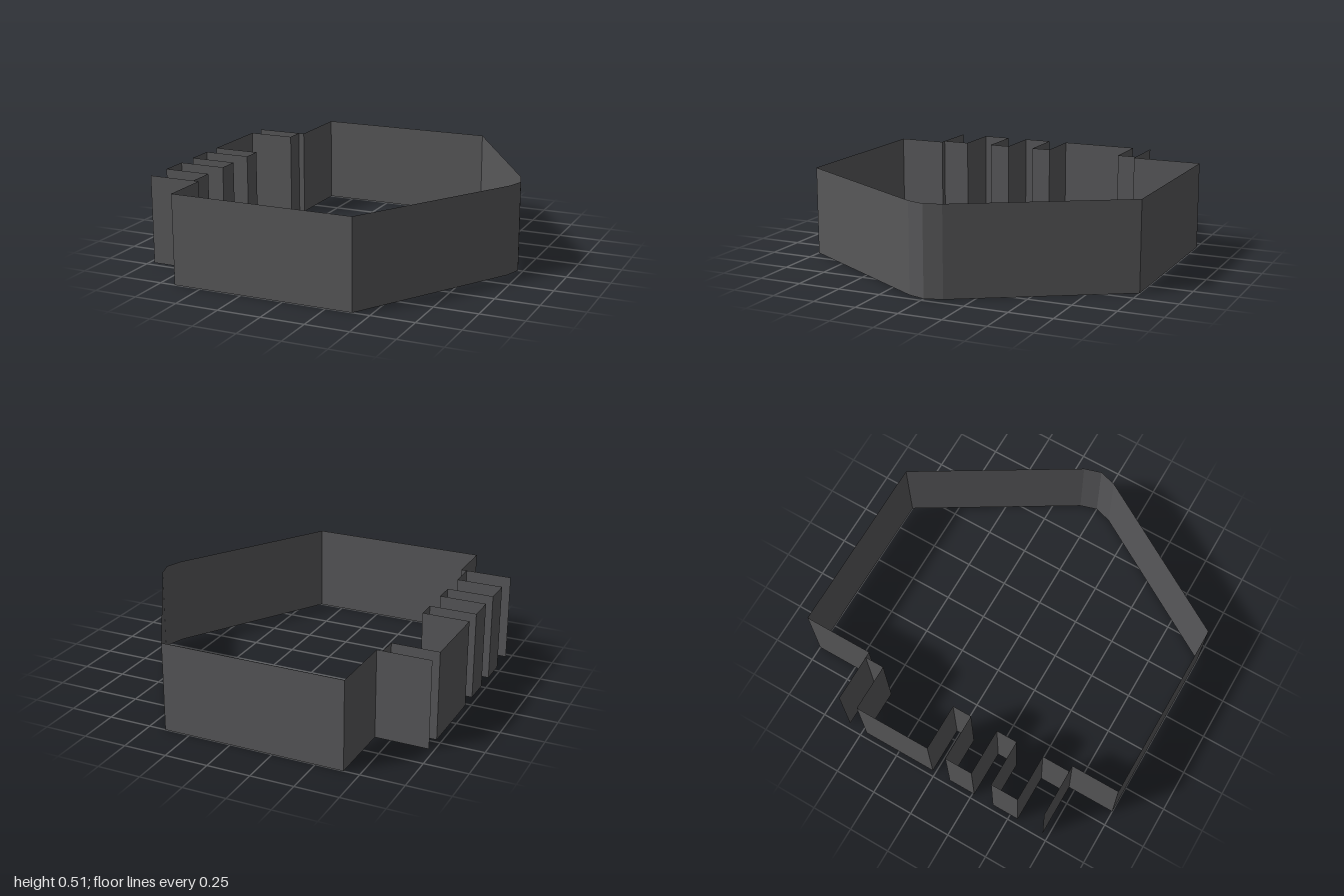
import * as THREE from 'three';

const HEIGHT = 0.515;

// Upright sheet following a path of [x, z] points, with crisp folds
function makeWall(name, path, material) {
  const positions = [];
  for (let i = 0; i < path.length - 1; i++) {
    const [ax, az] = path[i];
    const [bx, bz] = path[i + 1];
    positions.push(
      ax, 0, az, bx, 0, bz, bx, HEIGHT, bz,
      ax, 0, az, bx, HEIGHT, bz, ax, HEIGHT, az
    );
  }
  const geometry = new THREE.BufferGeometry();
  geometry.setAttribute('position', new THREE.Float32BufferAttribute(positions, 3));
  geometry.computeVertexNormals();
  const mesh = new THREE.Mesh(geometry, material);
  mesh.name = name;
  return mesh;
}

export function createModel() {
  const group = new THREE.Group();
  group.name = 'foldedWallRing';
  const darkGrey = new THREE.MeshStandardMaterial({ color: 0x58585a, side: THREE.DoubleSide });
  darkGrey.name = 'darkGrey';

  const BACK = -0.66;   // x of the short return walls
  const INNER = -0.695; // x of the inner folds
  const OUTER = -0.97;  // x of the outer folds
  const FRONT_END = 0.715;
  const REAR_END = -0.59;

  // Main wall: long sides, slanted walls and blunted nose
  group.add(makeWall('mainWall', [
    [BACK, FRONT_END], [BACK, 1], [0.4, 1], [0.94, 0.1], [0.97, 0],
    [0.94, -0.1], [0.4, -1], [BACK, -1], [BACK, REAR_END],
  ], darkGrey));

  // Free end fins
  group.add(makeWall('frontFin', [[BACK, FRONT_END], [OUTER, FRONT_END]], darkGrey));
  group.add(makeWall('rearFin', [[BACK, REAR_END], [OUTER, REAR_END]], darkGrey));

  // Pleated wall: each pleat steps out, runs along z, and steps back in
  const pleats = [[0.55, 0.385], [0.26, 0.095], [-0.02, -0.475]];
  const path = [[INNER, FRONT_END]];
  for (const [start, end] of pleats) {
    path.push([INNER, start], [OUTER, start], [OUTER, end], [INNER, end]);
  }
  path.push([INNER, REAR_END]);
  group.add(makeWall('pleatedWall', path, darkGrey));

  return group;
}
